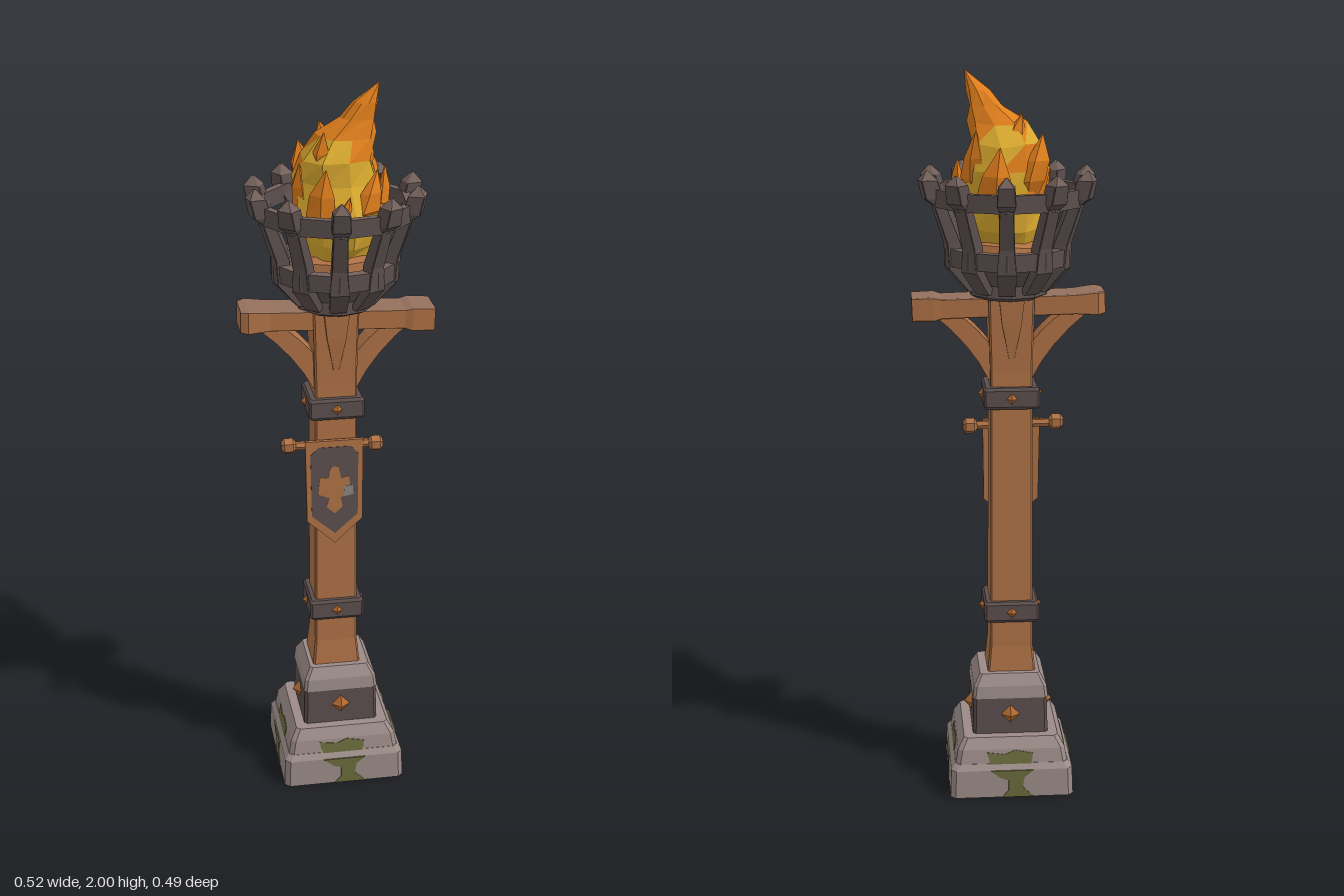
import * as THREE from 'three';

const mat = (name, color) => Object.assign(new THREE.MeshStandardMaterial({ color }), { name });
const M = {
  wood: mat('wood', 0xae7145),
  wornWood: mat('worn wood', 0x94705d),
  iron: mat('iron', 0x5a4e4d),
  wornIron: mat('worn iron', 0x73605a),
  stone: mat('stone', 0x9a8b87),
  moss: mat('moss', 0x6a6b3c),
  copper: mat('copper', 0xb0692f),
  orange: mat('flame orange', 0xe07e1c),
  yellow: mat('flame yellow', 0xd9a92f),
  patch: mat('pale patch', 0x8b8482),
};

// Seeded random in -1..1
let seed = 7;
const rnd = () => {
  seed = (seed * 16807) % 2147483647;
  return (seed / 2147483647) * 2 - 1;
};

// Faceted mesh
function mesh(name, geo, material) {
  const g = geo.index ? geo.toNonIndexed() : geo;
  g.computeVertexNormals();
  const m = new THREE.Mesh(g, material);
  m.name = name;
  return m;
}

// Faceted mesh whose upward faces have a second colour; up is the geometry axis that points up
function toppedMesh(name, geo, sideMat, topMat, up = new THREE.Vector3(0, 1, 0)) {
  const m = mesh(name, geo, [sideMat, topMat]);
  const g = m.geometry, normal = new THREE.Vector3();
  g.clearGroups();
  for (let i = 0; i < g.attributes.position.count; i += 3) {
    normal.fromBufferAttribute(g.attributes.normal, i);
    g.addGroup(i, 3, normal.dot(up) > 0.45 ? 1 : 0);
  }
  return m;
}

const K = 0.92;
const SQUARE = [[1, -K], [1, K], [K, 1], [-K, 1], [-1, K], [-1, -K], [-K, -1], [K, -1]];
const circle = (n, start = 0) => Array.from({ length: n }, (_, i) => {
  const a = start + (i / n) * Math.PI * 2;
  return [Math.cos(a), Math.sin(a)];
});

// Loft through sections [y, rx, cx, cz, rz] along y, capped at both ends
function loft(sections, ring = SQUARE, jitter = 0) {
  const n = ring.length, pos = [], idx = [];
  for (const [y, rx, cx = 0, cz = 0, rz = rx] of sections) {
    for (const [u, v] of ring) {
      const k = 1 + rnd() * jitter;
      pos.push(cx + u * rx * k, y + rnd() * jitter * rx * 0.5, cz + v * rz * k);
    }
  }
  const last = sections.length - 1;
  for (const s of [sections[0], sections[last]]) pos.push(s[2] ?? 0, s[0], s[3] ?? 0);
  const c0 = n * sections.length, top = n * last;
  for (let j = 0; j < n; j++) {
    const k = (j + 1) % n;
    for (let i = 0; i < last; i++) {
      const a = i * n + j, c = i * n + k;
      idx.push(a, a + n, c, c, a + n, c + n);
    }
    idx.push(c0, j, k, c0 + 1, top + k, top + j);
  }
  const g = new THREE.BufferGeometry();
  g.setAttribute('position', new THREE.Float32BufferAttribute(pos, 3));
  g.setIndex(idx);
  return g.toNonIndexed();
}

// Flat plate from an outline
function plate(name, points, depth, material) {
  const shape = new THREE.Shape(points.map(([x, y]) => new THREE.Vector2(x, y)));
  return mesh(name, new THREE.ExtrudeGeometry(shape, { depth, bevelEnabled: false }), material);
}

// Repeat a part on the four sides
function fourSides(parent, make) {
  for (let i = 0; i < 4; i++) {
    const side = new THREE.Group();
    side.name = 'side';
    side.rotation.y = (i * Math.PI) / 2;
    side.add(...make());
    parent.add(side);
  }
}

function stud(y, z, r) {
  const s = mesh('stud', new THREE.ConeGeometry(r, r * 0.8, 4), M.copper);
  s.rotation.x = Math.PI / 2;
  s.position.set(0, y, z + r * 0.4);
  return s;
}

function makeBase() {
  const g = new THREE.Group();
  g.name = 'base';
  g.add(
    mesh('lowerStone', loft([[0, 0.173], [0.08, 0.17], [0.096, 0.158]]), M.stone),
    mesh('upperStone', loft([[0.09, 0.158], [0.135, 0.15], [0.165, 0.132]]), M.stone),
    mesh('plinthBand', loft([[0.16, 0.106], [0.275, 0.103]]), M.iron),
    mesh('plinthCap', loft([[0.27, 0.106], [0.305, 0.102], [0.337, 0.084]]), M.stone),
  );
  const under = plate('mossUnderside', [[-0.14, -0.14], [0.14, -0.14], [0.14, 0.14], [-0.14, 0.14]], 0.003, M.moss);
  under.rotation.x = Math.PI / 2;
  under.position.y = 0.003;
  g.add(under);
  fourSides(g, () => {
    const low = plate('mossLow', [[-0.03, 0], [0.06, 0], [0.03, 0.03], [0.035, 0.06], [0.06, 0.08],
      [-0.06, 0.08], [-0.035, 0.06], [-0.01, 0.05], [-0.01, 0.02]], 0.004, M.moss);
    low.position.z = 0.17;
    const high = plate('mossHigh', [[-0.06, 0], [0.055, 0], [0.06, 0.03], [0.01, 0.04], [-0.02, 0.028], [-0.07, 0.035]], 0.004, M.moss);
    high.position.set(0, 0.093, 0.1555);
    high.rotation.x = -0.17;
    return [low, high, stud(0.222, 0.103, 0.028)];
  });
  return g;
}

function makePost() {
  const g = new THREE.Group();
  g.name = 'post';
  g.position.x = -0.006;
  g.add(mesh('shaft', loft([[0.33, 0.068], [0.41, 0.06], [1.2, 0.057], [1.4, 0.062]]), M.wood));
  for (const y of [0.515, 1.13]) {
    const band = new THREE.Group();
    band.name = 'ironBand';
    band.add(mesh('hoop', loft([[y - 0.03, 0.07], [y - 0.022, 0.076], [y + 0.022, 0.076], [y + 0.03, 0.07]]), M.iron));
    fourSides(band, () => [stud(y, 0.075, 0.016)]);
    g.add(band);
  }
  // Small corbels under the bowl
  for (const s of [1, -1]) {
    g.add(mesh('corbel', loft([[1.24, 0.008, 0, s * 0.052, 0.008], [1.33, 0.026, 0, s * 0.058, 0.012], [1.4, 0.034, 0, s * 0.06, 0.014]]), M.wood));
  }
  return g;
}

function makeCrossbeam() {
  const g = new THREE.Group();
  g.name = 'crossbeam';
  const beam = toppedMesh('beam', loft([[-0.26, 0.029, 0, 0.005, 0.048], [-0.24, 0.032, 0, 0.003, 0.06], [-0.18, 0.027, 0, 0, 0.054],
    [0.18, 0.027, 0, 0.01, 0.05], [0.2, 0.033, 0, 0.013, 0.054], [0.26, 0.032, 0, 0.016, 0.052]]), M.wood, M.wornWood, new THREE.Vector3(-1, 0, 0));
  beam.rotation.z = -Math.PI / 2 - 0.03;
  beam.position.y = 1.378;
  g.add(beam);
  // Flaring braces
  for (const s of [1, -1]) {
    const shape = new THREE.Shape();
    shape.moveTo(0.04, 1.17);
    shape.lineTo(0.058, 1.175);
    shape.quadraticCurveTo(0.105, 1.275, 0.21, 1.36);
    shape.lineTo(0.15, 1.365);
    shape.quadraticCurveTo(0.09, 1.325, 0.04, 1.255);
    const geo = new THREE.ExtrudeGeometry(shape, { depth: 0.07, bevelEnabled: false, curveSegments: 4 });
    geo.translate(0, 0, -0.035);
    if (s < 0) geo.rotateY(Math.PI);
    const brace = mesh('brace', geo, M.wood);
    brace.position.x = -0.004;
    g.add(brace);
  }
  return g;
}

function makeBanner() {
  const g = new THREE.Group();
  g.name = 'banner';
  g.position.set(-0.014, 0, 0.064);
  const rod = mesh('rod', new THREE.CylinderGeometry(0.012, 0.012, 0.25, 6), M.wood);
  rod.rotation.z = Math.PI / 2 - 0.02;
  rod.position.set(-0.005, 1.025, 0);
  g.add(rod);
  for (const s of [1, -1]) {
    const knob = mesh('rodKnob', loft([[-0.02, 0.012], [-0.012, 0.022], [0.012, 0.022], [0.02, 0.012]], circle(6)), M.wood);
    knob.rotation.z = Math.PI / 2;
    knob.position.set(-0.005 + s * 0.12, 1.025 - s * 0.004, 0);
    g.add(knob);
  }
  const hang = new THREE.Group();
  hang.name = 'hangingCloth';
  const rim = plate('rim', [[-0.077, 0.805], [0, 0.735], [0.077, 0.805], [0.08, 1.04], [-0.08, 1.04]], 0.012, M.wood);
  const field = plate('field', [[-0.064, 0.82], [0, 0.765], [0.064, 0.82], [0.066, 1.0], [0.045, 1.022],
    [-0.045, 1.022], [-0.066, 1.0]], 0.003, M.iron);
  const emblem = plate('ornament', [[0, 0.825], [0.022, 0.845], [0.016, 0.872], [0.046, 0.885], [0.04, 0.935], [0.018, 0.93],
    [0.01, 0.965], [-0.01, 0.965], [-0.018, 0.93], [-0.04, 0.935], [-0.046, 0.885], [-0.016, 0.872], [-0.022, 0.845]], 0.002, M.wood);
  const patch = plate('patch', [[0.025, 0.875], [0.052, 0.88], [0.05, 0.908], [0.027, 0.905]], 0.002, M.patch);
  field.position.z = 0.0105;
  emblem.position.z = 0.0125;
  patch.position.z = 0.0135;
  hang.add(rim, field, emblem, patch);
  // Lower end swings slightly away from the post
  hang.rotation.x = -0.035;
  hang.position.z = 0.036;
  g.add(hang);
  return g;
}

const PHI = (31 * Math.PI) / 180; // direction of the first basket bar

function hoop(name, inner, outer, y0, y1) {
  const p = [[outer, y0], [outer, y1], [inner, y1], [inner, y0], [outer, y0]].map(([x, y]) => new THREE.Vector2(x, y));
  return toppedMesh(name, new THREE.LatheGeometry(p, 10, PHI), M.iron, M.wornIron);
}

function makeBasket() {
  const g = new THREE.Group();
  g.name = 'fireBasket';
  g.add(
    mesh('cup', loft([[1.4, 0.088], [1.41, 0.108], [1.442, 0.104], [1.495, 0.14], [1.515, 0.145]], circle(10, 0.3)), M.iron),
    mesh('logs', loft([[1.5, 0.12], [1.545, 0.11], [1.565, 0.07]], circle(8), 0.1), M.wood),
    hoop('lowerHoop', 0.142, 0.173, 1.492, 1.538),
    hoop('upperHoop', 0.19, 0.212, 1.65, 1.697),
  );
  for (let i = 0; i < 10; i++) {
    const bar = toppedMesh('basketBar', loft([[1.42, 0.022, 0, 0.1, 0.014], [1.485, 0.026, 0, 0.152, 0.018], [1.55, 0.021, 0, 0.154, 0.019],
      [1.655, 0.019, 0, 0.192, 0.016], [1.672, 0.025, 0, 0.207, 0.024], [1.72, 0.022, 0, 0.22, 0.022], [1.745, 0.002, 0, 0.222, 0.002]]), M.iron, M.wornIron);
    bar.rotation.y = PHI + (i * Math.PI) / 5;
    g.add(bar);
  }
  return g;
}

function makeFire() {
  const g = new THREE.Group();
  g.name = 'fire';
  // Body: yellow low down, orange at the curling tip
  const geo = loft([[1.54, 0.08], [1.59, 0.108, 0.01], [1.67, 0.12, 0.012], [1.75, 0.112, 0.01, -0.01], [1.81, 0.098, 0.008, -0.01],
    [1.865, 0.078, 0.024, 0, 0.062], [1.91, 0.047, 0.058, 0, 0.042], [1.95, 0.03, 0.078, 0.005], [2, 0.001, 0.113, 0.01]], circle(9), 0.12);
  const p = geo.attributes.position;
  for (let i = 0; i < p.count; i += 3) {
    const y = (p.getY(i) + p.getY(i + 1) + p.getY(i + 2)) / 3;
    geo.addGroup(i, 3, y > 1.845 || (y > 1.68 && rnd() > 0.75) ? 1 : 0);
  }
  g.add(mesh('flameBody', geo, [M.yellow, M.orange]));
  // Tongues around the body: [angle from +x towards +z, radius, base y, tip y, width]
  const tongues = [[0, 0.122, 1.64, 1.775, 0.034], [0.9, 0.11, 1.64, 1.79, 0.048], [1.65, 0.108, 1.6, 1.73, 0.03],
    [2.2, 0.105, 1.62, 1.8, 0.044], [3.1, 0.1, 1.64, 1.8, 0.042], [3.95, 0.108, 1.66, 1.84, 0.05],
    [5.05, 0.118, 1.62, 1.81, 0.048], [5.75, 0.1, 1.66, 1.85, 0.044], [0.5, 0.066, 1.73, 1.88, 0.04],
    [2.6, 0.06, 1.74, 1.885, 0.042], [4.4, 0.058, 1.75, 1.89, 0.044]];
  for (const [a, r, y0, y1, w] of tongues) {
    const h = y1 - y0;
    const t = mesh('flameTongue', loft([[y0, w * 0.3, 0, r - 0.025], [y0 + h * 0.32, w, 0, r - 0.004, w * 0.62],
      [y0 + h * 0.62, w * 0.72, 0.008, r + 0.004, w * 0.5], [y1, 0.001, 0.022, r + 0.006]], circle(5), 0.18), M.orange);
    t.position.x = 0.008;
    t.rotation.y = Math.PI / 2 - a;
    g.add(t);
  }
  return g;
}

export function createModel() {
  seed = 7;
  const model = new THREE.Group();
  model.name = 'torchPost';
  model.add(makeBase(), makePost(), makeCrossbeam(), makeBanner(), makeBasket(), makeFire());
  return model;
}
